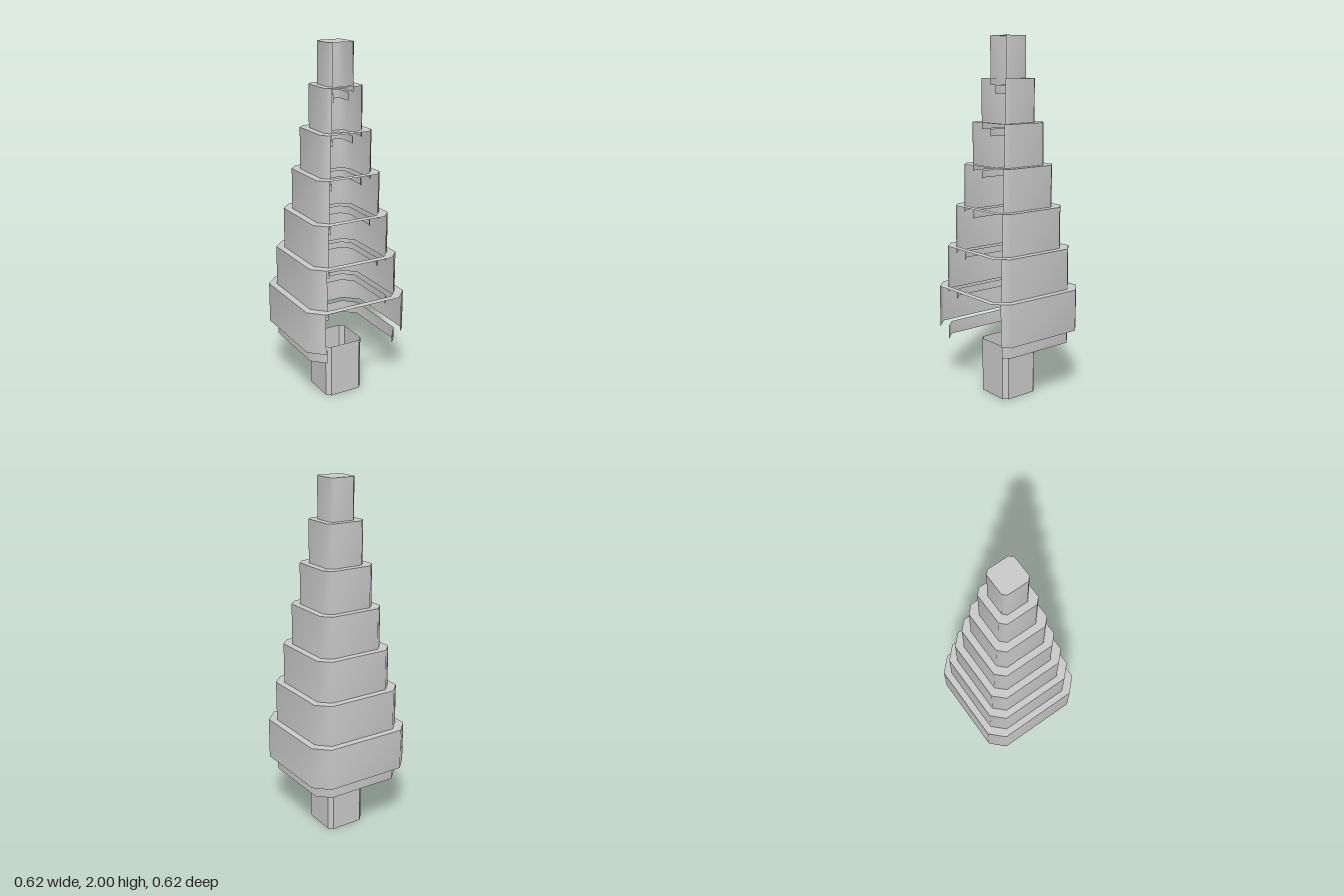
import * as THREE from 'three';

const material = new THREE.MeshStandardMaterial({ color: 0xcccccc, side: THREE.DoubleSide });
const flatMaterial = new THREE.MeshStandardMaterial({ color: 0xcccccc, side: THREE.DoubleSide, flatShading: true });

// Square outline with cut corners: h is the half width, f the half length of the flat side.
// Order: from the front left corner round the left, back and right sides to the front.
function outline(h, f) {
  return [[f, h], [h, f], [h, -f], [f, -h], [-f, -h], [-h, -f], [-h, f], [-f, h]];
}

// Vertical wall along a run of [x, z] points.
function wall(points, bottom, top) {
  const positions = [], index = [];
  points.forEach(([x, z], i) => {
    positions.push(x, bottom, z, x, top, z);
    const a = 2 * i;
    if (i < points.length - 1) index.push(a, a + 2, a + 3, a, a + 3, a + 1);
  });
  const geometry = new THREE.BufferGeometry();
  geometry.setAttribute('position', new THREE.Float32BufferAttribute(positions, 3));
  geometry.setIndex(index);
  geometry.computeVertexNormals();
  return geometry;
}

// Wall run without the front side, starting halfway along the front left corner.
function openFront(h) {
  const points = outline(h, h * 0.75);
  points[0] = [h * 0.875, h * 0.875];
  return points;
}

// Level plate, with a hole when an inner half width is given.
function plate(h, inner, y) {
  const toVectors = (r) => outline(r, r * 0.75).map(([x, z]) => new THREE.Vector2(x, -z));
  const shape = new THREE.Shape(toVectors(h));
  if (inner) shape.holes.push(new THREE.Path(toVectors(inner)));
  return new THREE.ShapeGeometry(shape).rotateX(-Math.PI / 2).translate(0, y, 0);
}

export function createModel() {
  const model = new THREE.Group();
  model.name = 'steppedTree';
  const add = (parent, name, geometry, mat = material) => {
    const mesh = new THREE.Mesh(geometry, mat);
    mesh.name = name;
    parent.add(mesh);
  };

  // Trunk: open tube, closed all the way round
  const trunk = outline(0.115, 0.091);
  add(model, 'trunk', wall([...trunk, trunk[0]], 0, 0.31), flatMaterial);

  // Foliage tiers: [half width, skirt bottom, wall bottom, top]
  const tiers = [
    [0.308, 0.31, 0.385, 0.62],
    [0.27, 0.543, 0.585, 0.85],
    [0.232, 0.77, 0.808, 1.08],
    [0.193, 1.0, 1.045, 1.31],
    [0.155, 1.23, 1.27, 1.54],
    [0.115, 1.46, 1.5, 1.775],
    [0.077, 1.69, 1.738, 2],
  ];
  tiers.forEach(([h, skirtBottom, bottom, top], i) => {
    const tier = new THREE.Group();
    tier.name = `foliageTier${i + 1}`;
    const next = i < tiers.length - 1 ? tiers[i + 1][0] : 0;
    add(tier, 'tierWall', wall(openFront(h), bottom, top));
    add(tier, 'tierSkirt', wall(openFront(next || 0.055), skirtBottom, bottom));
    add(tier, next ? 'tierLedge' : 'topCap', plate(h, next, top));
    model.add(tier);
  });
  return model;
}
